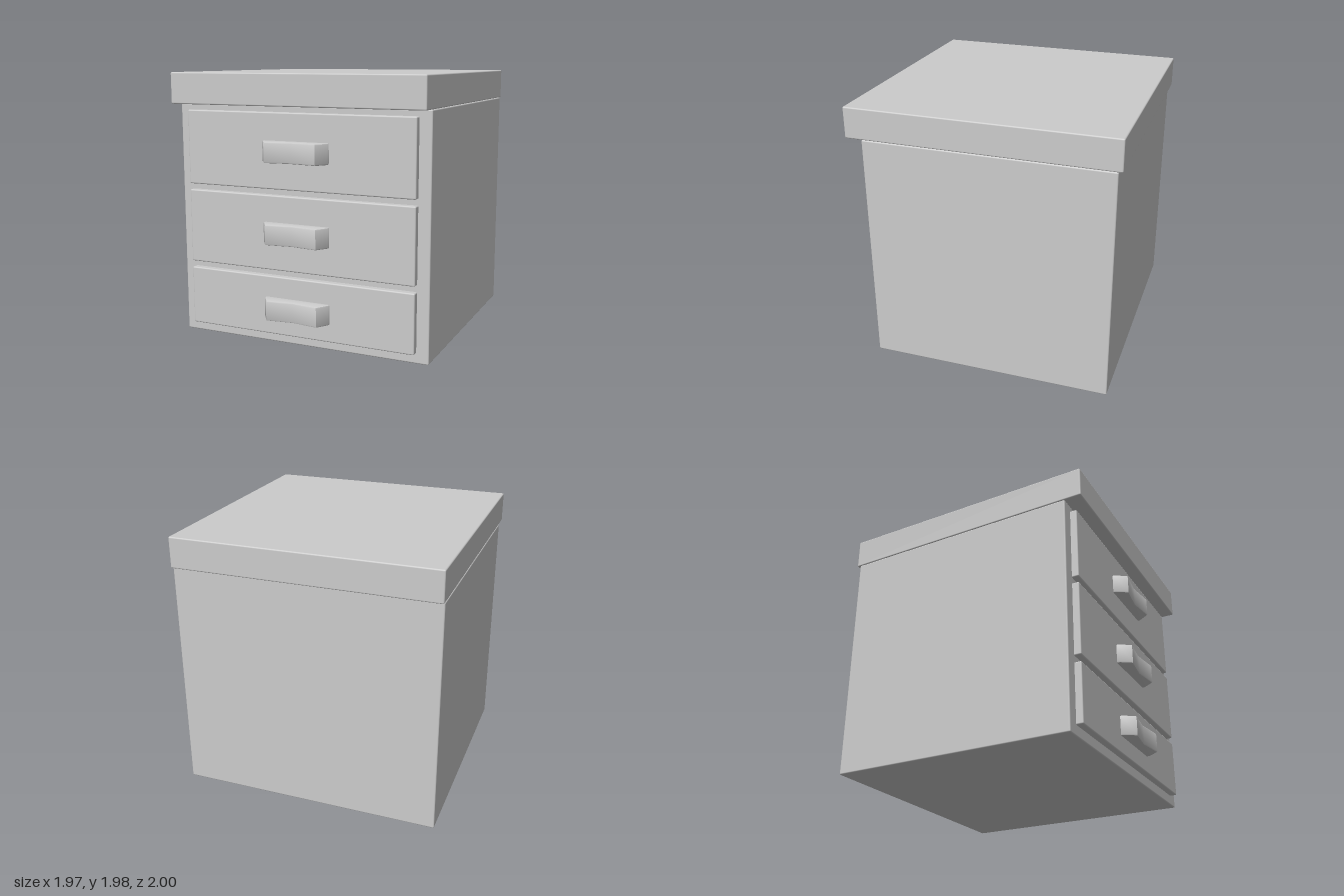
import * as THREE from 'three';
import { RoundedBoxGeometry } from 'three/addons/geometries/RoundedBoxGeometry.js';
import { toCreasedNormals } from 'three/addons/utils/BufferGeometryUtils.js';

const material = new THREE.MeshStandardMaterial({ color: 0xcccccc });
const BEVEL = 0.01;

// Softly bevelled box given by half width, y range and z range
function slab(name, halfWidth, y0, y1, z0, z1) {
  const geometry = new RoundedBoxGeometry(halfWidth * 2, y1 - y0, z1 - z0, 2, BEVEL);
  const mesh = new THREE.Mesh(geometry, material);
  mesh.name = name;
  mesh.position.set(0, (y0 + y1) / 2, (z0 + z1) / 2);
  return mesh;
}

// Handle: plan outline with slanted ends and a shallow dip in the front
function handleGeometry(height) {
  const outline = [[-0.26, -0.01], [0.26, -0.01], [0.255, 0.02], [0.2, 0.1], [0, 0.075], [-0.2, 0.1], [-0.255, 0.02]];
  const shape = new THREE.Shape(outline.map(([x, z]) => new THREE.Vector2(x, z)));
  const geometry = new THREE.ExtrudeGeometry(shape, {
    depth: height - 2 * BEVEL,
    bevelEnabled: true,
    bevelThickness: BEVEL,
    bevelSize: BEVEL,
    bevelOffset: -BEVEL,
    bevelSegments: 2,
  });
  geometry.translate(0, 0, BEVEL - height / 2);
  geometry.rotateX(Math.PI / 2);
  return toCreasedNormals(geometry, 0.6);
}

export function createModel() {
  const model = new THREE.Group();
  model.name = 'drawerCabinet';

  // Carcass and overhanging top
  model.add(slab('cabinetBody', 0.985, 0, 1.75, -0.97, 0.85));
  model.add(slab('cabinetTop', 0.985, 1.75, 1.98, -1, 0.975));

  // Three drawers: [bottom, top, handle centre]
  const pull = handleGeometry(0.15);
  const drawers = [[0.075, 0.512, 0.28], [0.56, 1.11, 0.84], [1.155, 1.705, 1.43]];
  drawers.forEach(([y0, y1, handleY], i) => {
    const drawer = new THREE.Group();
    drawer.name = `drawer${i + 1}`;
    drawer.add(slab('drawerFront', 0.895, y0, y1, 0.83, 0.9));
    const handle = new THREE.Mesh(pull, material);
    handle.name = 'drawerHandle';
    handle.position.set(0, handleY, 0.9);
    drawer.add(handle);
    model.add(drawer);
  });

  return model;
}
